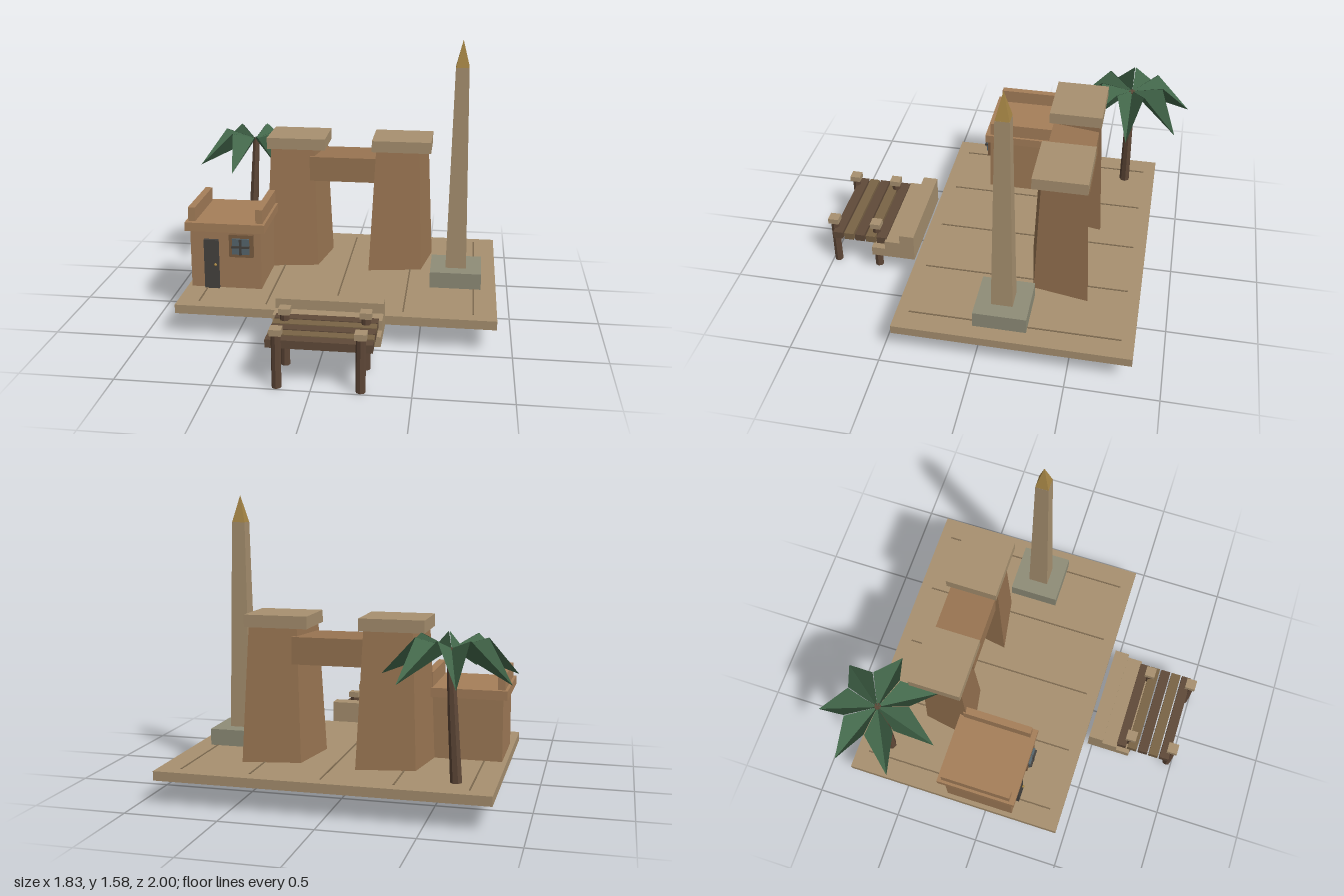
import * as THREE from 'three';

const mat = (color, side = THREE.FrontSide) =>
  new THREE.MeshStandardMaterial({ color, flatShading: true, side });

const M = {
  sand: mat(0xa89170), groove: mat(0x7d6a50), brick: mat(0xa17c58), roof: mat(0xa67f5a),
  mud: mat(0x997552), stone: mat(0x8f8d78), gold: mat(0xa58545), dark: mat(0x45423f),
  frame: mat(0x7a5c40), glass: mat(0x56666e), bark: mat(0x5e4737), plankA: mat(0x604a39),
  plankB: mat(0x7a6446), leaf: mat(0x44694c, THREE.DoubleSide),
};

export function createModel() {
  const root = new THREE.Group();

  const add = (parent, name, geometry, material, x = 0, y = 0, z = 0) => {
    const mesh = new THREE.Mesh(geometry, material);
    mesh.name = name;
    mesh.position.set(x, y, z);
    parent.add(mesh);
    return mesh;
  };
  // Box given by its limits on each axis
  const box = (parent, name, m, x0, x1, y0, y1, z0, z1) =>
    add(parent, name, new THREE.BoxGeometry(x1 - x0, y1 - y0, z1 - z0), m,
      (x0 + x1) / 2, (y0 + y1) / 2, (z0 + z1) / 2);
  const group = (name) => {
    const g = new THREE.Group();
    g.name = name;
    root.add(g);
    return g;
  };

  // Ground slab with thin joint lines
  const ground = group('ground');
  box(ground, 'slab', M.sand, -0.835, 0.915, 0.13, 0.18, -0.84, 0.45);
  for (let i = 0; i < 5; i++) {
    const x = -0.715 + i * 0.376;
    box(ground, 'slabJoint', M.groove, x - 0.004, x + 0.004, 0.178, 0.183, -0.77, 0.38);
  }

  // House
  const house = group('house');
  box(house, 'walls', M.brick, -0.81, -0.405, 0.18, 0.52, -0.23, 0.17);
  box(house, 'roof', M.roof, -0.835, -0.38, 0.52, 0.57, -0.26, 0.195);
  for (const x of [-0.8, -0.415])
    box(house, 'parapet', M.roof, x - 0.02, x + 0.02, 0.57, 0.65, -0.235, 0.165);
  box(house, 'door', M.dark, -0.73, -0.647, 0.18, 0.47, 0.165, 0.19);
  add(house, 'doorKnob', new THREE.SphereGeometry(0.009, 8, 6), M.gold, -0.664, 0.325, 0.195);
  box(house, 'windowFrame', M.frame, -0.583, -0.446, 0.375, 0.507, 0.165, 0.194);
  box(house, 'windowPane', M.glass, -0.563, -0.466, 0.395, 0.487, 0.165, 0.205);
  box(house, 'windowBarUpright', M.dark, -0.521, -0.508, 0.395, 0.487, 0.165, 0.215);
  box(house, 'windowBarAcross', M.dark, -0.565, -0.464, 0.435, 0.447, 0.165, 0.215);

  // Gateway: two tapered, slightly skewed towers with caps and a lintel
  const gate = group('gateway');
  for (const x of [-0.27, 0.349]) {
    const tower = new THREE.CylinderGeometry(0.81, 1, 0.72, 4);
    tower.scale(0.256, 1, 0.181).rotateY(Math.PI / 4);
    add(gate, 'tower', tower, M.mud, x, 0.54, -0.38);
    box(gate, 'towerCap', M.sand, x - 0.172, x + 0.172, 0.9, 0.966, -0.53, -0.235);
  }
  box(gate, 'lintel', M.mud, -0.19, 0.265, 0.71, 0.855, -0.515, -0.25);

  // Obelisk
  const obelisk = group('obelisk');
  box(obelisk, 'plinth', M.stone, 0.54, 0.83, 0.18, 0.272, -0.27, 0.02);
  const square = (top, bottom, h) =>
    new THREE.CylinderGeometry(top * Math.SQRT2, bottom * Math.SQRT2, h, 4).rotateY(Math.PI / 4);
  add(obelisk, 'shaft', square(0.037, 0.059, 1.16), M.sand, 0.685, 0.851, -0.123);
  add(obelisk, 'tip', square(0, 0.037, 0.15), M.gold, 0.685, 1.505, -0.123);

  // Palm: leaning two-piece trunk and folded fronds
  const palm = group('palm');
  const trunkPiece = (a, b, r0, r1) => {
    const dir = b.clone().sub(a);
    const mesh = add(palm, 'trunk', new THREE.CylinderGeometry(r1, r0, dir.length(), 7), M.bark);
    mesh.position.copy(a).lerp(b, 0.5);
    mesh.quaternion.setFromUnitVectors(new THREE.Vector3(0, 1, 0), dir.normalize());
  };
  const foot = new THREE.Vector3(-0.632, 0.18, -0.655);
  const waist = new THREE.Vector3(-0.612, 0.52, -0.655);
  const crown = new THREE.Vector3(-0.595, 0.855, -0.66);
  trunkPiece(foot, waist, 0.031, 0.027);
  trunkPiece(waist, crown, 0.027, 0.02);

  const frond = new THREE.BufferGeometry();
  frond.setAttribute('position', new THREE.Float32BufferAttribute([
    0, 0, 0, 0.165, 0.06, 0.077, 0.35, -0.14, 0,
    0, 0, 0, 0.35, -0.14, 0, 0.165, 0.06, -0.077,
  ], 3));
  frond.computeVertexNormals();
  for (let i = 0; i < 7; i++)
    add(palm, 'frond', frond, M.leaf, -0.6, 0.853, -0.66).rotation.y = (i * 2 * Math.PI) / 7;

  // Steps down to the jetty
  const steps = new THREE.Shape();
  [[0.475, 0.13], [0.73, 0.13], [0.73, 0.185], [0.65, 0.185], [0.65, 0.24],
    [0.56, 0.24], [0.56, 0.295], [0.475, 0.295]]
    .forEach(([z, y], i) => (i ? steps.lineTo(-z, y) : steps.moveTo(-z, y)));
  const stepGeometry = new THREE.ExtrudeGeometry(steps, { depth: 0.573, bevelEnabled: false });
  add(root, 'steps', stepGeometry.rotateY(Math.PI / 2), M.sand, -0.25, 0, 0);

  // Jetty: planks on capped posts
  const jetty = group('jetty');
  for (let i = 0; i < 5; i++) {
    const z = 0.645 + i * 0.066;
    box(jetty, 'plank', i % 2 ? M.plankB : M.plankA, -0.23, 0.305, 0.207, 0.25, z, z + 0.057);
  }
  for (const x of [-0.172, 0.247])
    for (const z of [0.717, 0.97]) {
      add(jetty, 'post', new THREE.CylinderGeometry(0.025, 0.025, 0.285, 8), M.bark, x, 0.1425, z);
      box(jetty, 'postCap', M.sand, x - 0.03, x + 0.03, 0.285, 0.318, z - 0.03, z + 0.03);
    }

  return root;
}
